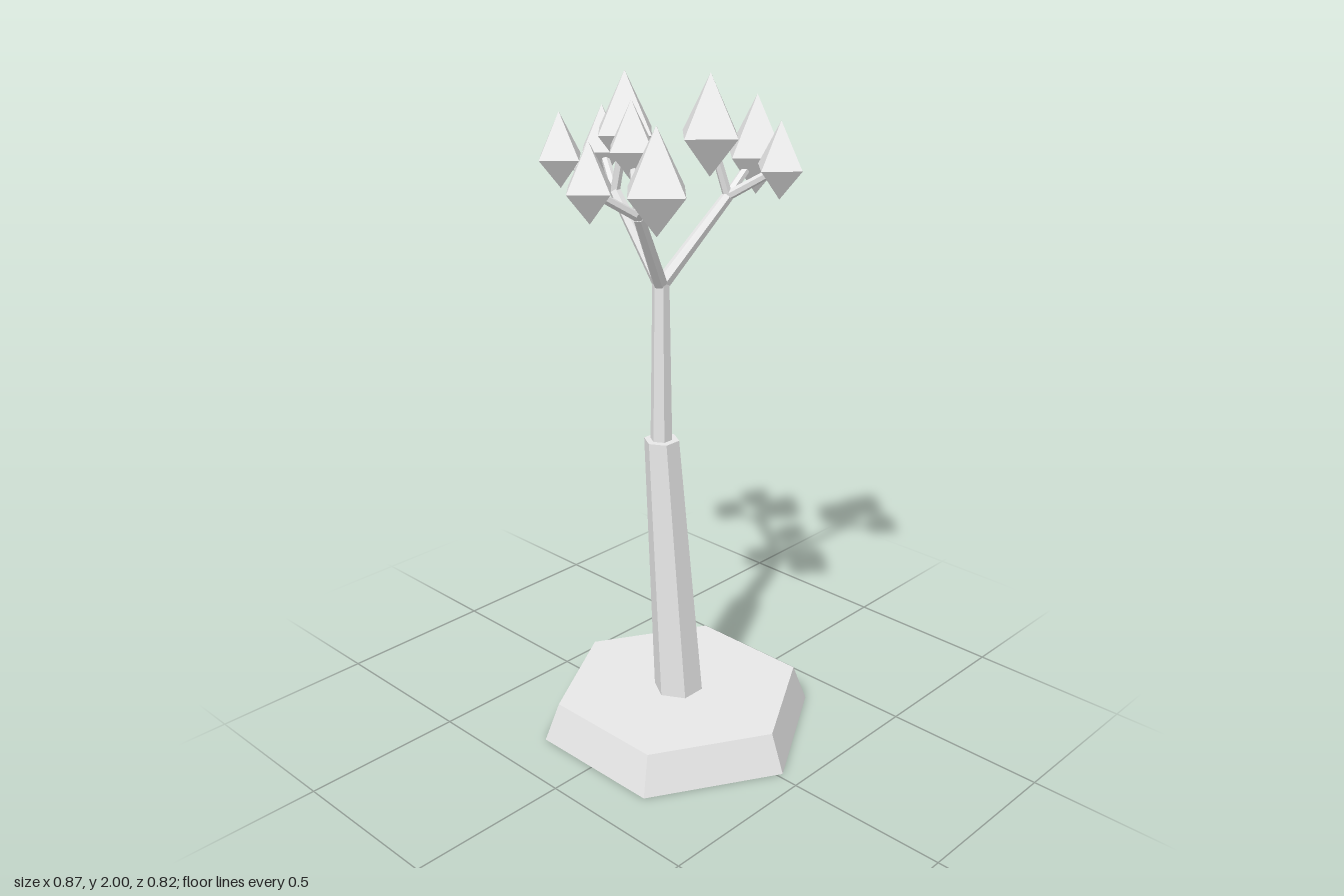
import * as THREE from 'three';

const stone = new THREE.MeshStandardMaterial({ color: 0xe7e7e7, flatShading: true, side: THREE.DoubleSide });
stone.name = 'pale grey';

function part(name, geometry, parent) {
  const flat = geometry.index ? geometry.toNonIndexed() : geometry;
  flat.computeVertexNormals();
  const mesh = new THREE.Mesh(flat, stone);
  mesh.name = name;
  parent.add(mesh);
  return mesh;
}

// Hexagonal column with level ends whose axis leans from a to b
function leaningColumn(a, b, ra, rb) {
  const h = b[1] - a[1];
  const dx = b[0] - a[0], dz = b[2] - a[2];
  const g = new THREE.CylinderGeometry(rb, ra, h, 6);
  return g.applyMatrix4(new THREE.Matrix4().set(
    1, dx / h, 0, (a[0] + b[0]) / 2,
    0, 1, 0, (a[1] + b[1]) / 2,
    0, dz / h, 1, (a[2] + b[2]) / 2,
    0, 0, 0, 1));
}

// Tapered hexagonal limb whose ends are square to its axis
function limb(a, b, ra, rb) {
  const from = new THREE.Vector3(...a), to = new THREE.Vector3(...b);
  const dir = to.clone().sub(from);
  const g = new THREE.CylinderGeometry(rb, ra, dir.length(), 6);
  g.applyQuaternion(new THREE.Quaternion().setFromUnitVectors(
    new THREE.Vector3(0, 1, 0), dir.normalize()));
  const mid = from.add(to).multiplyScalar(0.5);
  return g.translate(mid.x, mid.y, mid.z);
}

// Eight-sided leaf cluster, taller above its waist than below
function leafGeometry(r) {
  const g = new THREE.OctahedronGeometry(r);
  const p = g.attributes.position;
  for (let i = 0; i < p.count; i++) {
    const y = p.getY(i);
    p.setY(i, y * (y > 0 ? 1.61 : 1.12));
  }
  return g;
}

export function createModel() {
  const tree = new THREE.Group();
  tree.name = 'tree';

  // Base: tapered hexagonal shell, open underneath, with corners on the x axis
  const walls = new THREE.CylinderGeometry(0.384, 0.429, 0.12, 6, 1, true, Math.PI / 2);
  part('baseWalls', walls.translate(0.007, 0.06, -0.017), tree);
  const lid = new THREE.CircleGeometry(0.384, 6).rotateX(-Math.PI / 2);
  part('baseTop', lid.translate(0.007, 0.12, -0.017), tree);

  // Trunk in two sections, with a step between them
  part('lowerTrunk', leaningColumn([0.008, 0.121, -0.014], [-0.04, 0.952, 0.008], 0.076, 0.053), tree);
  part('upperTrunk', leaningColumn([-0.042, 0.94, 0.007], [-0.042, 1.43, 0.007], 0.033, 0.025), tree);

  // Three boughs, each forking into three twigs tipped with leaf clusters
  const big = 0.104, small = 0.0795;
  const boughs = [
    { name: 'rightBough', fork: [-0.222, 1.66, 0.007], leaves: [
      [-0.184, 1.833, 0.001, big], [-0.354, 1.751, -0.071, small], [-0.354, 1.751, 0.094, small]] },
    { name: 'frontBough', fork: [0.047, 1.66, 0.18], leaves: [
      [-0.005, 1.83, 0.152, small], [0.173, 1.757, 0.241, big], [0.016, 1.751, 0.327, small]] },
    { name: 'backBough', fork: [0.048, 1.66, -0.17], leaves: [
      [0.021, 1.833, -0.124, big], [0.033, 1.757, -0.306, big], [0.187, 1.751, -0.227, small]] },
  ];
  for (const { name, fork, leaves } of boughs) {
    const bough = new THREE.Group();
    bough.name = name;
    tree.add(bough);
    part('branch', limb([-0.042, 1.42, 0.007], fork, 0.022, 0.017), bough);
    for (const [x, y, z, r] of leaves) {
      part('twig', limb(fork, [x, y, z], 0.014, 0.012), bough);
      part('leafCluster', leafGeometry(r), bough).position.set(x, y, z);
    }
  }
  return tree;
}
